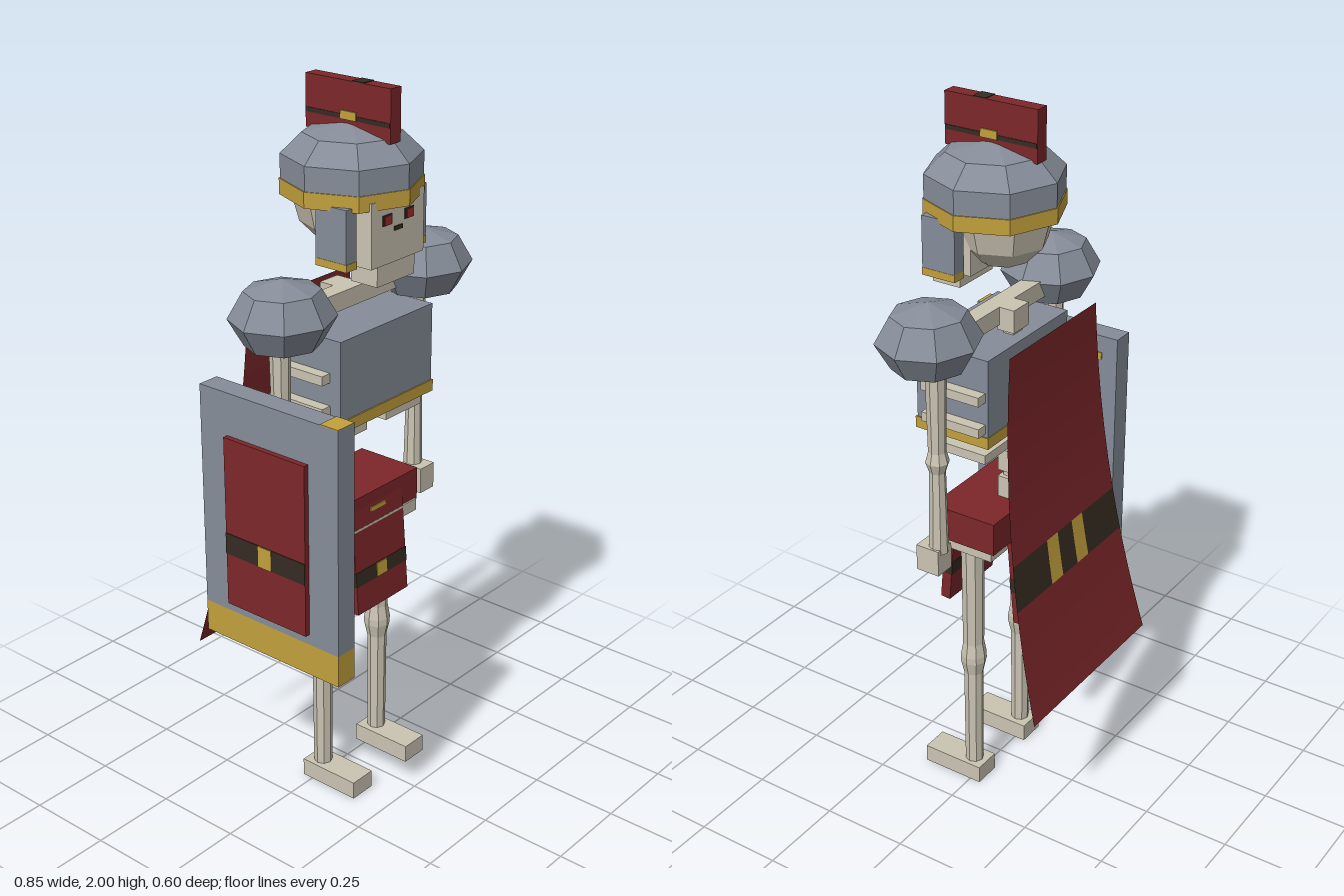
import * as THREE from 'three';

const mat = (name, color, extra = {}) =>
  Object.assign(new THREE.MeshStandardMaterial({ color, flatShading: true, ...extra }), { name });

export function createModel() {
  const root = new THREE.Group();
  root.name = 'skeletonSoldier';
  const bone = mat('bone', 0xcac4b2);
  const steel = mat('steel', 0x868d99);
  const red = mat('red', 0x7d272a, { side: THREE.DoubleSide });
  const gold = mat('gold', 0xc2a03c, { side: THREE.DoubleSide });
  const dark = mat('darkLeather', 0x362c22, { side: THREE.DoubleSide });
  const eyeRed = mat('eyeRed', 0xa02a2c);

  const add = (name, geo, m, parent = root) => {
    const mesh = new THREE.Mesh(geo, m);
    mesh.name = name;
    parent.add(mesh);
    return mesh;
  };
  // box given by its limits on each axis
  const box = (name, m, [x0, x1], [y0, y1], [z0, z1], parent = root) => {
    const mesh = add(name, new THREE.BoxGeometry(x1 - x0, y1 - y0, z1 - z0), m, parent);
    mesh.position.set((x0 + x1) / 2, (y0 + y1) / 2, (z0 + z1) / 2);
    return mesh;
  };
  const wide = (w) => [-w, w];
  const span = (a, b, s) => (s > 0 ? [a, b] : [-b, -a]);
  const limb = (name, profile, x, z) => {
    const pts = profile.map(([r, y]) => new THREE.Vector2(r, y));
    add(name, new THREE.LatheGeometry(pts, 8), bone).position.set(x, 0, z);
  };

  // skull
  const cranium = add('cranium', new THREE.SphereGeometry(0.135, 8, 6), bone);
  cranium.position.set(0, 1.7, -0.01);
  box('face', bone, wide(0.105), [1.56, 1.73], [0.02, 0.165]);
  box('jaw', bone, wide(0.075), [1.505, 1.56], [0.075, 0.16]);
  for (const s of [-1, 1]) {
    box('eyeSocket', dark, span(0.026, 0.062, s), [1.662, 1.69], [0.164, 0.167]);
    box('eye', eyeRed, span(0.032, 0.056, s), [1.665, 1.687], [0.166, 0.169]);
  }
  box('nose', dark, wide(0.016), [1.642, 1.653], [0.164, 0.168]);

  // helmet with brim, cheek guards and crest
  const dome = [[0.183, 1.75], [0.183, 1.815], [0.128, 1.868], [0, 1.895]];
  add('helmetDome', new THREE.LatheGeometry(dome.map(([r, y]) => new THREE.Vector2(r, y)), 8), steel)
    .position.z = 0.015;
  add('helmetBrim', new THREE.CylinderGeometry(0.186, 0.186, 0.042, 8), gold).position.set(0, 1.73, 0.015);
  for (const s of [-1, 1]) {
    box('cheekGuard', steel, span(0.12, 0.16, s), [1.58, 1.72], [0.03, 0.13]);
    box('cheekGuardTrim', gold, span(0.12, 0.161, s), [1.56, 1.58], [0.03, 0.131]);
    box('crestBand', dark, span(0.019, 0.022, s), [1.9, 1.912], [-0.12, 0.152]);
    box('crestStud', gold, span(0.019, 0.024, s), [1.9, 1.922], [-0.005, 0.045]);
  }
  box('crest', red, wide(0.02), [1.86, 1.998], [-0.122, 0.154]);
  box('crestTopBand', dark, wide(0.02), [1.997, 2], [0.03, 0.068]);

  // spine, ribs and collar bone
  for (let i = 0; i < 7; i++) {
    const y = 0.93 + i * 0.083;
    box('vertebra', bone, wide(0.035), [y - 0.032, y + 0.032], [-0.065, -0.015]);
  }
  box('spineCore', bone, wide(0.022), [0.88, 1.44], [-0.055, -0.025]);
  box('collarBone', bone, wide(0.24), [1.41, 1.46], [-0.02, 0.03]);
  [[0.19, 1.1], [0.22, 1.19], [0.22, 1.28]].forEach(([w, y]) => {
    for (const s of [-1, 1]) box('rib', bone, span(0.04, w, s), [y - 0.013, y + 0.013], [-0.08, 0.1]);
  });

  // breastplate
  box('breastplate', steel, wide(0.188), [1.167, 1.385], [-0.088, 0.135]);
  box('breastplateTrim', gold, wide(0.192), [1.135, 1.167], [-0.09, 0.139]);

  // arms, legs and pauldrons
  for (const s of [-1, 1]) {
    limb('arm', [[0.027, 0.84], [0.022, 1.08], [0.032, 1.11], [0.024, 1.14], [0.029, 1.4]], s * 0.276, 0.01);
    box('hand', bone, span(0.246, 0.306, s), [0.78, 0.855], [-0.008, 0.062]);
    const pauldron = add('pauldron', new THREE.SphereGeometry(1, 8, 4), steel);
    pauldron.scale.set(0.143, 0.101, 0.136);
    pauldron.position.set(s * 0.281, 1.454, 0.025);
    limb('leg', [[0.026, 0.04], [0.028, 0.36], [0.037, 0.4], [0.037, 0.42], [0.03, 0.46], [0.033, 0.8]], s * 0.12, 0.01);
    box('foot', bone, span(0.078, 0.158, s), [0, 0.052], [-0.032, 0.155]);
  }

  // hips and belt
  box('pelvis', bone, wide(0.165), [0.775, 0.81], [-0.08, 0.11]);
  box('belt', red, wide(0.174), [0.805, 0.9], [-0.094, 0.105]);
  box('beltBuckle', gold, wide(0.032), [0.843, 0.855], [0.103, 0.109]);

  // front and back loincloth flaps, hinged at the belt
  const flap = (name, side, halfWidth, length) => {
    const g = new THREE.Group();
    g.name = name;
    g.position.set(0, 0.89, side * 0.088);
    g.rotation.x = -side * 0.08;
    box(name + 'Cloth', red, wide(halfWidth), [-length, 0], wide(0.015), g);
    box(name + 'Band', dark, wide(halfWidth + 0.001), [-0.247, -0.205], wide(0.0165), g);
    box(name + 'Stud', gold, wide(0.022), [-0.246, -0.206], span(0.015, 0.019, side), g);
    root.add(g);
  };
  flap('frontFlap', 1, 0.107, 0.33);
  flap('backFlap', -1, 0.086, 0.345);

  // cape: a sheet that flares downward and sweeps back, cut into coloured fields
  const capeField = (name, m, t0, t1, u0, u1) => {
    const geo = new THREE.PlaneGeometry(1, 1, 1, 6);
    const p = geo.attributes.position;
    for (let i = 0; i < p.count; i++) {
      const t = t0 + (t1 - t0) * (0.5 - p.getY(i));
      const u = u0 + (u1 - u0) * (0.5 + p.getX(i));
      p.setXYZ(i, u * (0.205 + 0.085 * t), 1.42 - 1.02 * t, -0.165 - 0.138 * t * t);
    }
    geo.computeVertexNormals();
    add(name, geo, m);
  };
  capeField('capeUpper', red, 0, 0.56, -1, 1);
  capeField('capeLower', red, 0.685, 1, -1, 1);
  const cuts = [-1, -0.35, -0.14, 0.14, 0.35, 1];
  for (let i = 0; i < 5; i++)
    capeField(i % 2 ? 'capeStripe' : 'capeBand', i % 2 ? gold : dark, 0.56, 0.685, cuts[i], cuts[i + 1]);

  // shield on the right arm
  box('shieldBoard', steel, [-0.393, -0.33], [0.63, 1.26], [-0.163, 0.3]);
  box('shieldFoot', gold, [-0.393, -0.33], [0.54, 0.63], [-0.163, 0.3]);
  box('shieldTopTrim', gold, [-0.393, -0.33], [1.259, 1.262], [0.242, 0.3]);
  box('shieldPanel', red, [-0.408, -0.39], [0.66, 1.142], [-0.07, 0.203]);
  box('shieldPanelBand', dark, [-0.41, -0.404], [0.81, 0.87], [-0.07, 0.203]);
  box('shieldPanelStud', gold, [-0.412, -0.405], [0.81, 0.87], [0.045, 0.09]);
  for (const z of [0.275, 0.18, -0.105])
    box('shieldRivet', gold, [-0.332, -0.327], [1.19, 1.21], [z - 0.01, z + 0.01]);

  return root;
}
